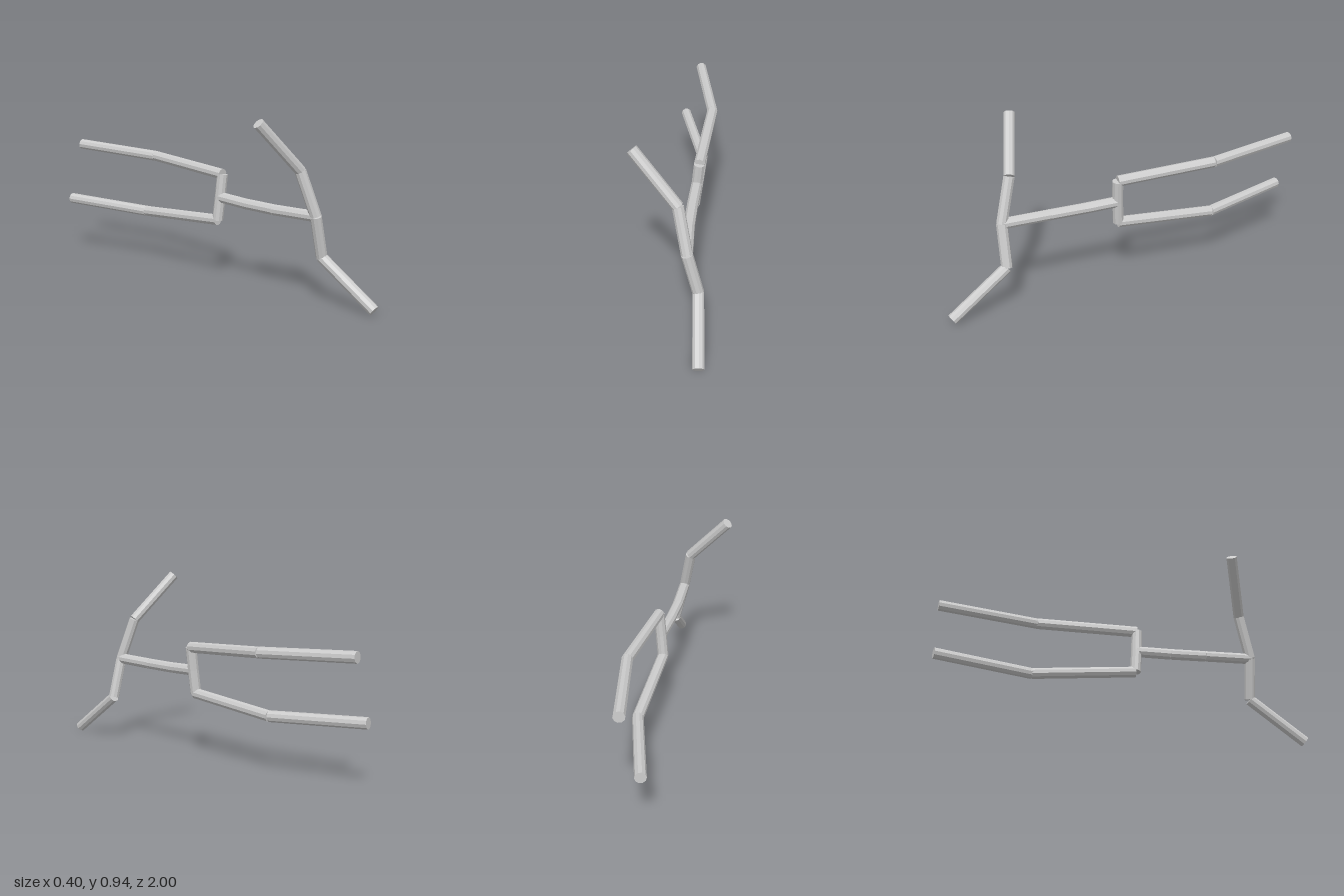
import * as THREE from 'three';

const RADIUS = 0.029;
const SIDES = 10;

// Joints of the posed stick figure
const chest = [0.09, 0.455, 0.682];
const hips = [0.088, 0.455, 0.058];
const upperHip = [0.1, 0.577, 0.062];
const lowerHip = [0.077, 0.332, 0.05];

const limbs = {
  spine: [chest, [0.079, 0.449, 0.43], [0.081, 0.449, 0.24], hips],
  pelvis: [upperHip, hips, lowerHip],
  raisedArm: [chest, [0.042, 0.68, 0.618], [-0.178, 0.925, 0.534]],
  loweredArm: [chest, [0.145, 0.238, 0.684], [0.17, 0.024, 0.983]],
  upperLeg: [upperHip, [0.132, 0.604, -0.475], [0.032, 0.624, -0.995]],
  lowerLeg: [lowerHip, [0.08, 0.29, -0.495], [-0.058, 0.311, -0.993]],
};

export function createModel() {
  const model = new THREE.Group();
  const material = new THREE.MeshStandardMaterial({ color: 0xcccccc, flatShading: true });
  const up = new THREE.Vector3(0, 1, 0);

  // Capped rod between two joints
  const rod = (from, to) => {
    const a = new THREE.Vector3(...from);
    const b = new THREE.Vector3(...to);
    const dir = b.clone().sub(a);
    const mesh = new THREE.Mesh(
      new THREE.CylinderGeometry(RADIUS, RADIUS, dir.length(), SIDES), material);
    mesh.position.copy(a).add(b).multiplyScalar(0.5);
    mesh.quaternion.setFromUnitVectors(up, dir.normalize());
    return mesh;
  };

  // Each limb is a chain of rods
  for (const [name, joints] of Object.entries(limbs)) {
    const limb = new THREE.Group();
    limb.name = name;
    for (let i = 1; i < joints.length; i++) {
      const segment = rod(joints[i - 1], joints[i]);
      segment.name = `${name}Segment${i}`;
      limb.add(segment);
    }
    model.add(limb);
  }
  return model;
}
